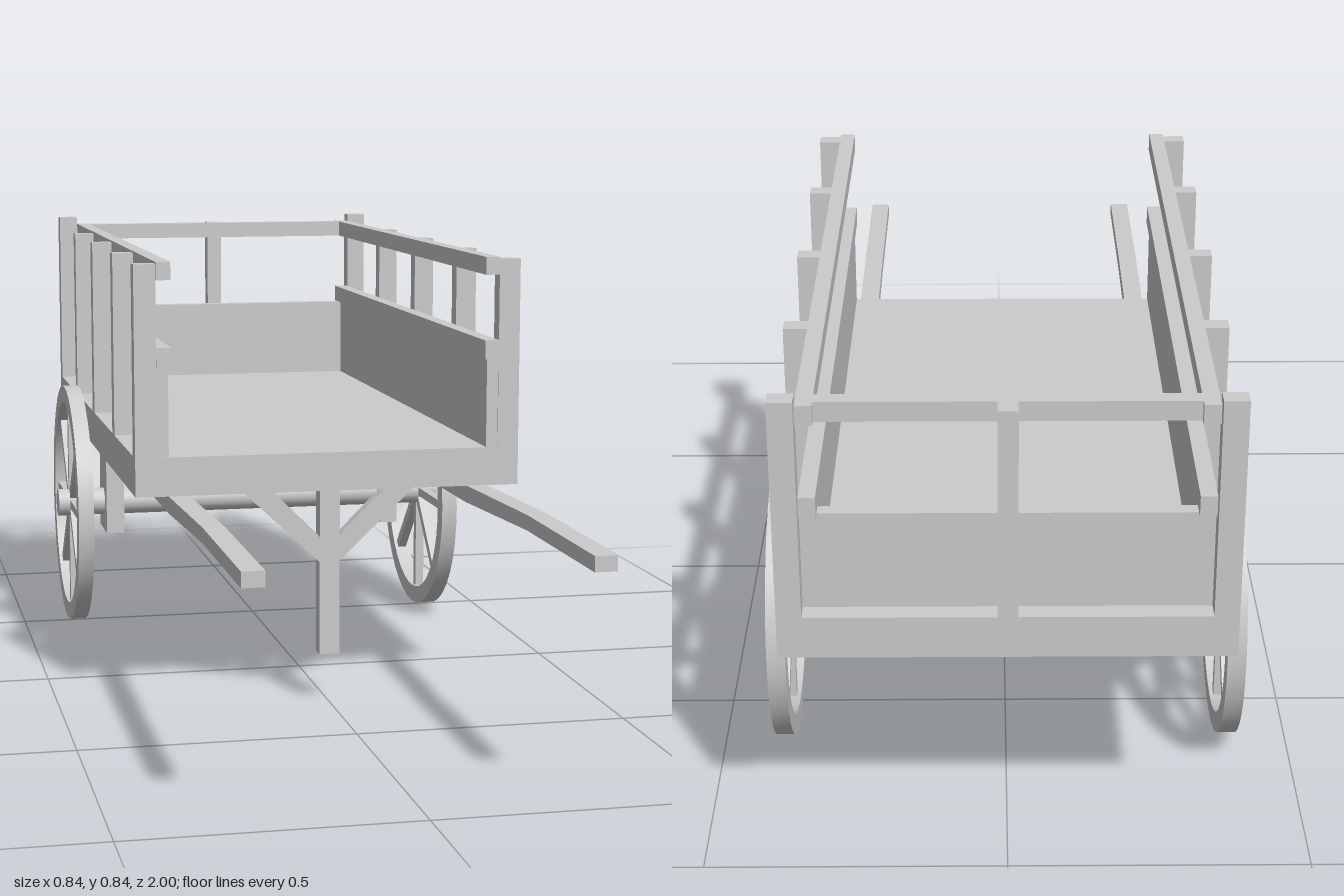
import * as THREE from 'three';
import { toCreasedNormals } from 'three/addons/utils/BufferGeometryUtils.js';

const material = new THREE.MeshStandardMaterial({ color: 0xcccccc });

export function createModel() {
  const cart = new THREE.Group();
  cart.name = 'handCart';

  const add = (name, geometry, parent = cart) => {
    const mesh = new THREE.Mesh(geometry, material);
    mesh.name = name;
    parent.add(mesh);
    return mesh;
  };
  // Box given by its extents on each axis
  const box = (name, [x0, x1], [y0, y1], [z0, z1], parent) => {
    const mesh = add(name, new THREE.BoxGeometry(x1 - x0, y1 - y0, z1 - z0), parent);
    mesh.position.set((x0 + x1) / 2, (y0 + y1) / 2, (z0 + z1) / 2);
    return mesh;
  };
  // Same box on the left and right
  const boxPair = (name, [x0, x1], y, z) => {
    box(name + 'Left', [x0, x1], y, z);
    box(name + 'Right', [-x1, -x0], y, z);
  };
  const polygon = (points) => new THREE.Shape(points.map(([x, y]) => new THREE.Vector2(x, y)));
  const extrude = (shape, depth, curveSegments = 12) =>
    new THREE.ExtrudeGeometry(shape, { depth, bevelEnabled: false, curveSegments });

  // Bed
  box('bed', [-0.362, 0.362], [0.402, 0.474], [-1, 0.277]);

  // Side walls: outer posts, boards, and two rails each
  [0.261, -0.032, -0.354, -0.666].forEach((z, i) =>
    boxPair('sidePost' + (i + 1), [0.322, 0.362], [0.474, 0.826], [z - 0.016, z + 0.016]));
  boxPair('rearCornerPost', [0.322, 0.362], [0.474, 0.845], [-1, -0.966]);
  boxPair('sideBoard', [0.3, 0.322], [0.474, 0.642], [-0.966, 0.275]);
  boxPair('lowerRail', [0.295, 0.322], [0.64, 0.675], [-0.98, 0.28]);
  boxPair('upperRail', [0.295, 0.322], [0.797, 0.83], [-0.98, 0.28]);

  // Rear wall
  box('rearBoard', [-0.3, 0.3], [0.474, 0.64], [-0.966, -0.942]);
  box('rearRail', [-0.295, 0.295], [0.797, 0.83], [-0.966, -0.938]);
  box('rearMiddlePost', [-0.016, 0.016], [0.474, 0.83], [-1, -0.966]);

  // Bent handles: side profile in (z, y), swept across x
  const handleProfile = polygon([
    [-0.015, 0.368], [0.27, 0.37], [0.65, 0.387], [1, 0.386],
    [1, 0.412], [0.65, 0.414], [0.27, 0.402], [-0.015, 0.402],
  ]);
  for (const [side, x] of [['Left', 0.263], ['Right', -0.301]]) {
    const handle = add('handle' + side, extrude(handleProfile, 0.038));
    handle.rotation.y = -Math.PI / 2;
    handle.scale.z = -1;
    handle.geometry.scale(1, 1, -1);
    // The profile's z axis is turned to run forward, its depth to run along +x
    handle.geometry.dispose();
    const g = extrude(handleProfile, 0.038);
    g.rotateY(-Math.PI / 2).translate(x + 0.038, 0, 0);
    handle.geometry = g;
    handle.rotation.set(0, 0, 0);
    handle.scale.set(1, 1, 1);
  }

  // Front prop leg with two diagonal braces
  box('propLeg', [-0.019, 0.019], [0.092, 0.402], [0.245, 0.277]);
  for (const s of [1, -1]) {
    const points = [[0, 0.25], [0.16, 0.402], [0.105, 0.402], [0, 0.298]].map(([x, y]) => [s * x, y]);
    add(s > 0 ? 'braceLeft' : 'braceRight', extrude(polygon(points), 0.026)).position.z = 0.248;
  }

  // Axle and its hangers
  const axleY = 0.253, axleZ = -0.535;
  boxPair('axleHanger', [0.284, 0.322], [0.192, 0.402], [axleZ - 0.056, axleZ + 0.056]);
  const axle = add('axle', new THREE.CylinderGeometry(0.029, 0.029, 0.842, 20));
  axle.rotation.z = Math.PI / 2;
  axle.position.set(0, axleY, axleZ);

  // Spoked wheels
  const rimShape = new THREE.Shape().absarc(0, 0, 0.253, 0, Math.PI * 2);
  rimShape.holes.push(new THREE.Path().absarc(0, 0, 0.217, 0, Math.PI * 2, true));
  const rimGeometry = toCreasedNormals(extrude(rimShape, 0.032, 20), 0.6);
  rimGeometry.translate(0, 0, -0.016).rotateY(Math.PI / 2);
  for (const s of [1, -1]) {
    const wheel = new THREE.Group();
    wheel.name = s > 0 ? 'wheelLeft' : 'wheelRight';
    wheel.position.set(s * 0.388, axleY, axleZ);
    add('rim', rimGeometry, wheel);
    for (let i = 0; i < 8; i++) {
      const spoke = new THREE.BoxGeometry(0.018, 0.205, 0.018);
      spoke.translate(0, 0.1225, 0).rotateX((i * Math.PI) / 4);
      add('spoke' + (i + 1), spoke, wheel);
    }
    cart.add(wheel);
  }
  return cart;
}
